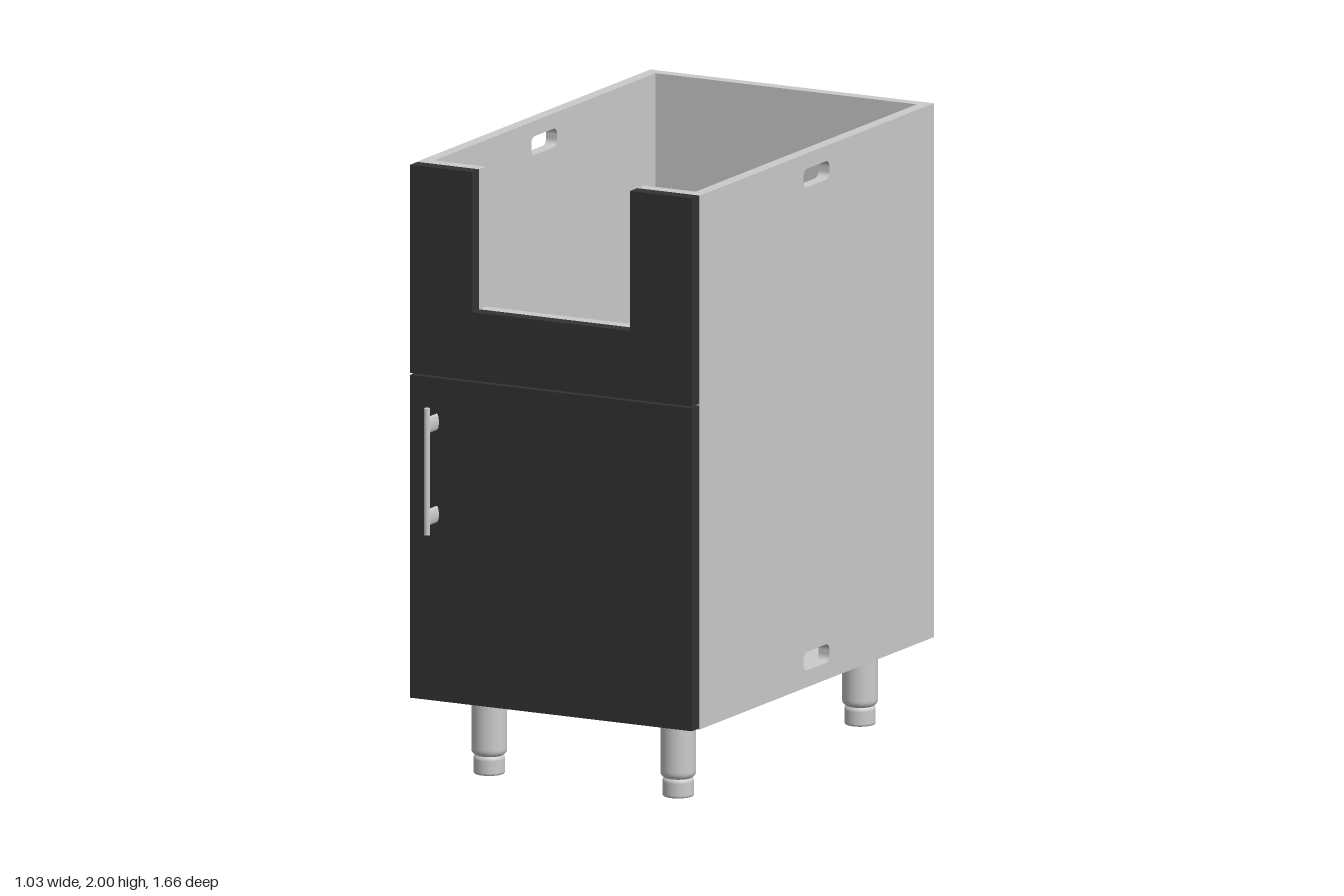
import * as THREE from 'three';

const grey = new THREE.MeshStandardMaterial({ color: 0xcccccc });
const dark = new THREE.MeshStandardMaterial({ color: 0x333333 });

// Cabinet extents
const W = 0.513, T = 0.04, BOTTOM = 0.265, TOP = 2, BACK = -0.832, FRONT = 0.708, FACE = 0.755;
const SEAM = 1.32, NOTCH_W = 0.286, NOTCH_Y = 1.545;

function add(parent, name, geometry, material, x = 0, y = 0, z = 0) {
  const mesh = new THREE.Mesh(geometry, material);
  mesh.name = name;
  mesh.position.set(x, y, z);
  parent.add(mesh);
  return mesh;
}

// Box given by its minimum and maximum corners
function addBox(parent, name, material, a, b) {
  const size = b.map((v, i) => v - a[i]);
  return add(parent, name, new THREE.BoxGeometry(...size), material, ...a.map((v, i) => v + size[i] / 2));
}

const extrude = (shape, depth) =>
  new THREE.ExtrudeGeometry(shape, { depth, bevelEnabled: false, curveSegments: 8 });

// Rounded slot used as a ventilation / grip hole
function slot(cx, cy, w, h, r) {
  const p = new THREE.Path(), x = w / 2 - r, y = h / 2 - r;
  p.absarc(cx + x, cy + y, r, 0, Math.PI / 2);
  p.absarc(cx - x, cy + y, r, Math.PI / 2, Math.PI);
  p.absarc(cx - x, cy - y, r, Math.PI, Math.PI * 1.5);
  p.absarc(cx + x, cy - y, r, Math.PI * 1.5, Math.PI * 2);
  p.closePath();
  return p;
}

// Side panel drawn in (-z, y), with two slots
function sideGeometry() {
  const s = new THREE.Shape([[-FRONT, BOTTOM], [-BACK, BOTTOM], [-BACK, TOP], [-FRONT, TOP]]
    .map(([x, y]) => new THREE.Vector2(x, y)));
  for (const y of [0.35, 1.92]) s.holes.push(slot(0.06, y, 0.17, 0.06, 0.022));
  return extrude(s, T).rotateY(Math.PI / 2);
}

// U-shaped panel with the notch open at the top
function notchedGeometry(halfWidth, bottom, depth) {
  const pts = [[-halfWidth, bottom], [halfWidth, bottom], [halfWidth, TOP], [NOTCH_W, TOP],
    [NOTCH_W, NOTCH_Y], [-NOTCH_W, NOTCH_Y], [-NOTCH_W, TOP], [-halfWidth, TOP]];
  return extrude(new THREE.Shape(pts.map(([x, y]) => new THREE.Vector2(x, y))), depth);
}

function createLeg() {
  const leg = new THREE.Group();
  const lathe = (pts) => {
    // each point is doubled by short chamfers so edges stay crisp
    const g = new THREE.LatheGeometry(pts.map(([r, y]) => new THREE.Vector2(r, y)), 32);
    return g;
  };
  add(leg, 'legTube', lathe([[0, 0.06], [0.044, 0.06], [0.044, 0.062], [0.05, 0.064], [0.055, 0.07],
    [0.057, 0.078], [0.057, 0.085], [0.057, BOTTOM]]), grey);
  add(leg, 'legFoot', lathe([[0, 0], [0.047, 0], [0.047, 0], [0.05, 0.004], [0.05, 0.008], [0.05, 0.048],
    [0.05, 0.052], [0.047, 0.058], [0.042, 0.062]]), grey);
  return leg;
}

function createHandle() {
  const handle = new THREE.Group();
  handle.name = 'handle';
  const x = -0.414;
  add(handle, 'handleBar', new THREE.CylinderGeometry(0.01, 0.01, 0.412, 20), grey, x, 1.025, 0.818);
  // flattened round standoffs
  for (const y of [0.875, 1.175]) {
    const g = new THREE.CylinderGeometry(0.027, 0.027, 0.063, 24).rotateX(Math.PI / 2).scale(0.3, 1, 1);
    add(handle, 'handleStandoff', g, grey, x, y, FACE + 0.0305);
  }
  return handle;
}

export function createModel() {
  const model = new THREE.Group();
  model.name = 'cabinet';

  // Carcass: open at the top and behind the door
  const carcass = new THREE.Group();
  carcass.name = 'carcass';
  model.add(carcass);
  add(carcass, 'leftSide', sideGeometry(), grey, W - T);
  add(carcass, 'rightSide', sideGeometry(), grey, -W);
  addBox(carcass, 'backPanel', grey, [-W + T, BOTTOM, BACK], [W - T, TOP, BACK + T]);
  addBox(carcass, 'floorPanel', grey, [-W + T, BOTTOM, BACK + T], [W - T, BOTTOM + T, FRONT]);
  add(carcass, 'frontRail', notchedGeometry(W - T, SEAM - 0.01, T + 0.005), grey, 0, 0, FRONT - T - 0.005);

  // Dark fronts with a fine seam between them
  const faceW = 0.51, depth = FACE - FRONT;
  add(model, 'upperFront', notchedGeometry(faceW, SEAM + 0.003, depth), dark, 0, 0, FRONT);
  addBox(model, 'door', dark, [-faceW, BOTTOM + 0.003, FRONT], [faceW, SEAM - 0.003, FACE]);
  model.add(createHandle());

  // Four adjustable legs
  for (const x of [-0.342, 0.342]) for (const z of [0.54, -0.657]) {
    const leg = createLeg();
    leg.name = (z > 0 ? 'front' : 'back') + (x > 0 ? 'Left' : 'Right') + 'Leg';
    leg.position.set(x, 0, z);
    model.add(leg);
  }
  return model;
}
